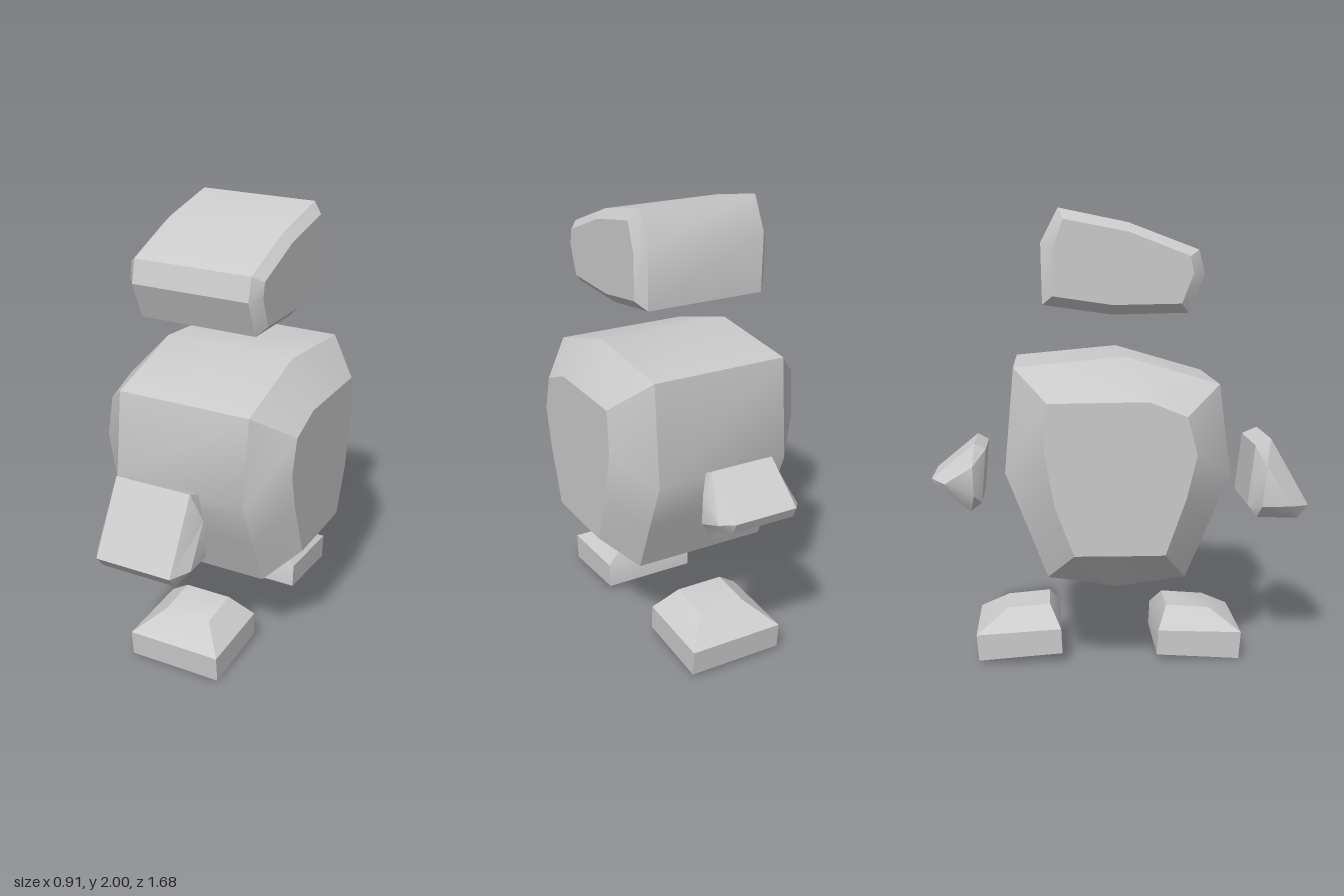
import * as THREE from 'three';
import { toCreasedNormals } from 'three/addons/utils/BufferGeometryUtils.js';

// Lofts a block along x: a full [z, y] profile at ±xFull and a smaller one at ±xEnd.
// Profiles run from front over the top to the back.
function loftBlock(name, xFull, full, xEnd, end) {
  const rings = [[-xEnd, end], [-xFull, full], [xFull, full], [xEnd, end]].map(
    ([x, profile]) => profile.map(([z, y]) => new THREE.Vector3(x, y, z)));
  const positions = [];
  const addTriangle = (a, b, c) => {
    if (new THREE.Triangle(a, b, c).getArea() < 1e-7) return;
    for (const p of [a, b, c]) positions.push(p.x, p.y, p.z);
  };
  const n = full.length;
  for (let s = 0; s < 3; s++) {
    const a = rings[s], b = rings[s + 1];
    for (let i = 0; i < n; i++) {
      const j = (i + 1) % n;
      addTriangle(a[i], b[i], b[j]);
      addTriangle(a[i], b[j], a[j]);
    }
  }
  // end caps
  for (let i = 1; i < n - 1; i++) {
    addTriangle(rings[0][0], rings[0][i], rings[0][i + 1]);
    addTriangle(rings[3][0], rings[3][i + 1], rings[3][i]);
  }
  const geometry = new THREE.BufferGeometry();
  geometry.setAttribute('position', new THREE.Float32BufferAttribute(positions, 3));
  const material = new THREE.MeshStandardMaterial({ color: 0xcccccc });
  const mesh = new THREE.Mesh(toCreasedNormals(geometry, THREE.MathUtils.degToRad(32)), material);
  mesh.name = name;
  return mesh;
}

// Foot: a low slab with a hipped top
function foot(name, topFront, topBack, rimBack, baseBack, baseFront, rimFront) {
  return loftBlock(name,
    0.11, [topFront, topBack, rimBack, baseBack, baseFront, rimFront],
    0.22, [rimFront, rimBack, rimBack, baseBack, baseFront, rimFront]);
}

export function createModel() {
  const model = new THREE.Group();
  model.name = 'blockFigure';

  model.add(loftBlock('head',
    0.27, [[-0.276, 2], [-0.35, 1.857], [-0.345, 1.597], [-0.05, 1.555],
      [0.276, 1.562], [0.345, 1.725], [0.32, 1.827], [0.02, 1.94]],
    0.31, [[-0.255, 1.952], [-0.302, 1.825], [-0.302, 1.634], [-0.05, 1.597],
      [0.244, 1.602], [0.293, 1.73], [0.28, 1.80], [0.02, 1.9]]));

  model.add(loftBlock('body',
    0.31, [[0.41, 1.26], [0, 1.38], [-0.47, 1.337], [-0.51, 0.886], [-0.42, 0.655],
      [-0.33, 0.424], [-0.03, 0.377], [0.265, 0.414], [0.363, 0.64], [0.46, 0.865]],
    0.457, [[0.255, 1.14], [0.095, 1.204], [-0.33, 1.2], [-0.345, 1.008], [-0.3, 0.76],
      [-0.22, 0.552], [-0.02, 0.55], [0.165, 0.55], [0.255, 0.8], [0.297, 0.98]]));

  // Hands: bevelled wedges, tapering to a triangle at each end
  const frontTri = [[0.64, 0.88], [0.62, 0.7], [0.75, 0.7]];
  model.add(loftBlock('frontHand',
    0.175, [[0.663, 1], [0.594, 0.97], [0.562, 0.7], [0.605, 0.645], [0.79, 0.637], [0.838, 0.695]],
    0.223, frontTri.flatMap((p) => [p, p])));

  const backTri = [[-0.658, 0.89], [-0.78, 0.815], [-0.653, 0.76]];
  model.add(loftBlock('backHand',
    0.145, [[-0.65, 0.987], [-0.838, 0.833], [-0.817, 0.785], [-0.668, 0.684], [-0.62, 0.72], [-0.6, 0.96]],
    0.192, [0, 1, 1, 2, 2, 0].map((i) => backTri[i])));

  model.add(foot('frontFoot', [0.4, 0.207], [0.207, 0.223], [0.16, 0.138],
    [0.154, 0.026], [0.525, 0], [0.535, 0.122]));
  model.add(foot('backFoot', [-0.324, 0.239], [-0.515, 0.223], [-0.652, 0.133],
    [-0.642, 0.016], [-0.27, 0.042], [-0.276, 0.154]));

  return model;
}
